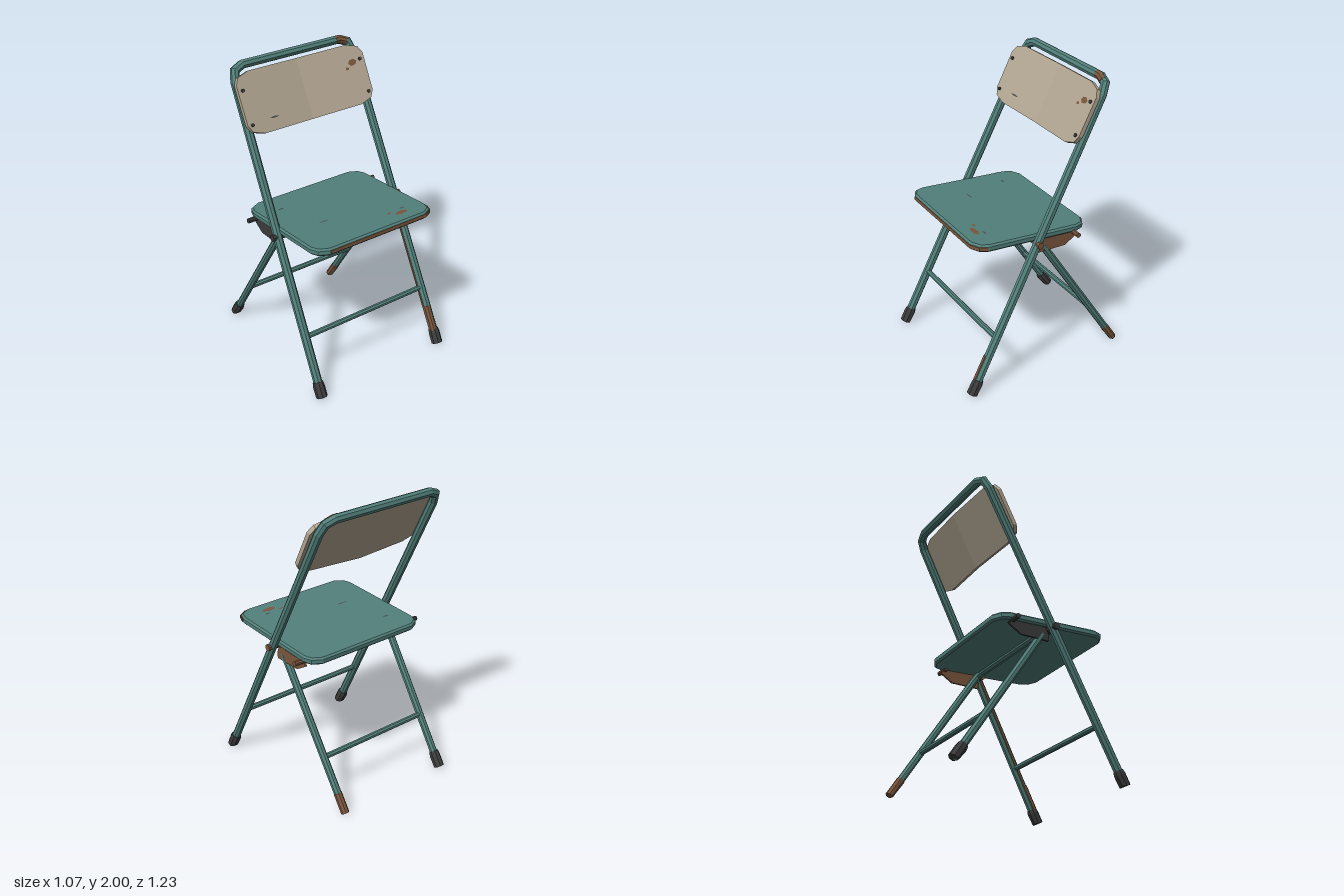
import * as THREE from 'three';

const mat = (name, color) => Object.assign(new THREE.MeshStandardMaterial({ color }), { name });
const V = (x, y, z) => new THREE.Vector3(x, y, z);

// Flat-faced skin over a row of closed rings, capped at both ends and trimmed at the floor
function loft(rings) {
  const pos = [], n = rings[0].length, last = rings.length - 1;
  const tri = (...p) => p.forEach(q => pos.push(q.x, q.y, q.z));
  for (let i = 0; i < last; i++) {
    for (let j = 0; j < n; j++) {
      const k = (j + 1) % n, a = rings[i], b = rings[i + 1];
      tri(a[j], a[k], b[k]);
      tri(a[j], b[k], b[j]);
    }
  }
  for (let j = 1; j < n - 1; j++) {
    tri(rings[0][0], rings[0][j + 1], rings[0][j]);
    tri(rings[last][0], rings[last][j], rings[last][j + 1]);
  }
  const g = new THREE.BufferGeometry();
  g.setAttribute('position', new THREE.Float32BufferAttribute(pos, 3));
  g.computeVertexNormals();
  return g;
}

// Eight-sided tube along a planar path with mitred bends; N is the plane normal
function tube(path, r, N, floor = false) {
  const radii = Array.isArray(r) ? r : path.map(() => r);
  return loft(path.map((p, i) => {
    const d0 = p.clone().sub(path[Math.max(i - 1, 0)]).normalize();
    const d1 = path[Math.min(i + 1, path.length - 1)].clone().sub(p).normalize();
    const T = d0.clone().add(d1).normalize();
    const mitre = 1 / Math.max(T.dot(d0), T.dot(d1));
    const B = T.clone().cross(N);
    return Array.from({ length: 8 }, (_, j) => {
      const a = (j + 0.5) * Math.PI / 4;
      const q = p.clone().addScaledVector(N, radii[i] * Math.cos(a))
        .addScaledVector(B, radii[i] * mitre * Math.sin(a));
      if (floor) q.y = Math.max(q.y, 0);
      return q;
    });
  }));
}

// Rectangle outline with softly chamfered corners
function chamfered(w, h) {
  const c = [[w, h - 0.085], [w - 0.02, h - 0.033], [w - 0.08, h]];
  const m = (sx, sy, list) => list.map(([x, y]) => new THREE.Vector2(x * sx, y * sy));
  const r = [...c].reverse();
  return new THREE.Shape([...m(1, 1, c), ...m(-1, 1, r), ...m(-1, -1, c), ...m(1, -1, r)]);
}

// Thin irregular paint chip in the XY plane
function chip(w, h) {
  const p = [[-0.5, -0.1], [-0.2, -0.5], [0.3, -0.4], [0.5, 0.1], [0.15, 0.5], [-0.3, 0.35]];
  return new THREE.ShapeGeometry(new THREE.Shape(p.map(([x, y]) => new THREE.Vector2(x * w, y * h))));
}

export function createModel() {
  const root = new THREE.Group();
  root.name = 'foldingChair';
  const teal = mat('tealPaint', 0x52807b), beige = mat('beigePanel', 0xb2a692);
  const rust = mat('rust', 0x7a563d), rubber = mat('darkRubber', 0x3d3c3c);
  const steel = mat('bareSteel', 0x484b4c);
  const add = (name, geo, material, parent = root) => {
    const m = new THREE.Mesh(geo, material);
    m.name = name;
    parent.add(m);
    return m;
  };

  // Planes in which the two bent frames lie
  const front = (x, y) => V(x, y, 0.56 - 0.513 * (y - 0.05));
  const back = (x, y) => V(x, y, 0.06 + 0.6546 * (y - 0.99));
  const nFront = V(0, 0.513, 1).normalize(), nBack = V(0, -0.6546, 1).normalize();
  const X = V(1, 0, 0), Y = V(0, 1, 0);
  const hoop = (plane, pts) => [
    ...pts.map(([x, y]) => plane(-x, y)),
    ...[...pts].reverse().map(([x, y]) => plane(x, y)),
  ];

  // Frames and crossbars
  add('frontFrame', tube(hoop(front, [[0.5, 0.01], [0.467, 1.885], [0.446, 1.948], [0.383, 1.972]]), 0.03, nFront, true), teal);
  add('backLegFrame', tube(hoop(back, [[0.427, 0.01], [0.436, 0.93], [0.422, 0.972], [0.385, 0.99]]), 0.026, nBack, true), teal);
  const bar = (name, p, w) => add(name, tube([V(-w, p.y, p.z), V(w, p.y, p.z)], 0.019, Y), teal);
  bar('frontCrossbar', front(0, 0.372), 0.49);
  bar('backCrossbar', back(0, 0.33), 0.43);

  // Rubber feet; the left back one is missing, leaving a rusty end
  const foot = (name, plane, x, N, r) =>
    add(name, tube([plane(x, 0.005), plane(x, 0.075), plane(x, 0.1)], [r, r, r * 0.85], N, true), rubber);
  foot('frontFootLeft', front, 0.5, nFront, 0.039);
  foot('frontFootRight', front, -0.5, nFront, 0.039);
  foot('backFootRight', back, -0.428, nBack, 0.037);
  add('bareBackLegEnd', tube([back(0.427, 0.005), back(0.428, 0.12)], 0.028, nBack, true), rust);

  // Rust along the left front leg and on the top bend
  const shifted = (pts, dx, dy, dz) => pts.map(([x, y]) => front(x, y).add(V(dx, dy, dz)));
  add('legRustLow', tube(shifted([[0.498, 0.09], [0.496, 0.25]], -0.005, 0.003, 0.006), 0.026, nFront), rust);
  add('legRustHigh', tube(shifted([[0.496, 0.25], [0.484, 0.96]], -0.014, 0, 0), 0.018, nFront), rust);
  add('topBendRust', tube(shifted([[0.35, 1.972], [0.383, 1.972], [0.43, 1.954]], 0, 0.002, 0.004), 0.028, nFront), rust);

  // Seat: bevelled pan, rusted front lip and chips
  const seat = new THREE.Group();
  seat.name = 'seat';
  seat.position.set(0, 1.016, 0.1025);
  seat.rotation.x = -0.053;
  root.add(seat);
  const bevel = 0.012;
  const pan = new THREE.ExtrudeGeometry(chamfered(0.473 - bevel, 0.4175 - bevel), {
    depth: 0.05 - 2 * bevel, bevelEnabled: true, bevelSegments: 1, bevelSize: bevel, bevelThickness: bevel,
  });
  pan.translate(0, 0, bevel - 0.025);
  pan.rotateX(-Math.PI / 2);
  add('seatPan', pan, teal, seat);
  const lip = [[-0.38, 0.4175], [0.393, 0.4175], [0.453, 0.3845], [0.473, 0.334]];
  for (let i = 0; i < 3; i++) {
    const [x0, z0] = lip[i], [x1, z1] = lip[i + 1];
    const s = add('seatLipRust', new THREE.BoxGeometry(Math.hypot(x1 - x0, z1 - z0), 0.024, 0.006), rust, seat);
    s.position.set((x0 + x1) / 2, 0, (z0 + z1) / 2);
    s.rotation.y = -Math.atan2(z1 - z0, x1 - x0);
  }
  for (const [x, z, w, h, m] of [
    [0.265, 0.42, 0.11, 0.04, rust], [0.19, 0.385, 0.04, 0.018, rust],
    [0.31, 0.373, 0.045, 0.012, steel], [-0.2, 0.2, 0.08, 0.01, steel], [-0.315, -0.125, 0.045, 0.016, steel],
  ]) {
    const c = add('seatChip', chip(w, h), m, seat);
    c.position.set(x, 0.027, z - 0.1025);
    c.rotation.x = -Math.PI / 2;
  }

  // Backrest: panel bowed towards the back at its middle
  const rest = new THREE.Group();
  rest.name = 'backrest';
  rest.position.copy(front(0, 1.745));
  rest.rotation.x = -Math.atan(0.513);
  root.add(rest);
  const face = x => 0.032 + 0.062 * Math.abs(x);
  const half = [[0.5, 0.13], [0.472, 0.178], [0.385, 0.205]];
  const columns = [...half.map(([x, h]) => [-x, h]), [0, 0.205], ...[...half].reverse()];
  add('backrestPanel', loft(columns.map(([x, h]) => {
    const f = face(x), b = f - 0.03;
    return [V(x, -h, b), V(x, h, b), V(x, h, f), V(x, -h, f)];
  })), beige, rest);
  for (const [x, y, w, h, m] of [
    [0.4, 0.082, 0.07, 0.045, rust], [0.35, 0.048, 0.03, 0.02, rust], [-0.29, -0.12, 0.07, 0.012, steel],
  ]) {
    const c = add('backrestChip', chip(w, h), m, rest);
    c.position.set(x, y, face(x) + 0.002);
    c.rotation.y = -Math.sign(x) * Math.atan(0.062);
  }
  for (const x of [-0.465, 0.465]) {
    for (const y of [-0.133, 0.092]) {
      const z = face(x);
      add('backrestBolt', tube([V(x, y, z - 0.005), V(x, y, z + 0.009)], 0.012, X), rubber, rest);
    }
  }

  // Hinge brackets and pins, rusted on the left side only
  const bracket = new THREE.Shape([[-0.07, 0.93], [-0.065, 0.893], [0.14, 0.893], [0.225, 0.945], [0.21, 0.985], [0.15, 0.99], [0, 0.99], [-0.05, 0.98]]
    .map(([x, y]) => new THREE.Vector2(x, y)));
  for (const s of [-1, 1]) {
    const m = s > 0 ? rust : rubber;
    const g = new THREE.ExtrudeGeometry(bracket, { depth: 0.014, bevelEnabled: false });
    g.rotateY(Math.PI / 2);
    g.translate(s * 0.452 - 0.007, 0, 0);
    add('hingeBracket', g, m);
    for (const [y, z, r] of [[0.98, 0.085, 0.023], [0.977, -0.2, 0.017]]) {
      const pin = [V(0.42 * s, y, z), V(0.527 * s, y, z)];
      add('hingePin', tube(pin, r, Y), m);
    }
  }
  return root;
}
